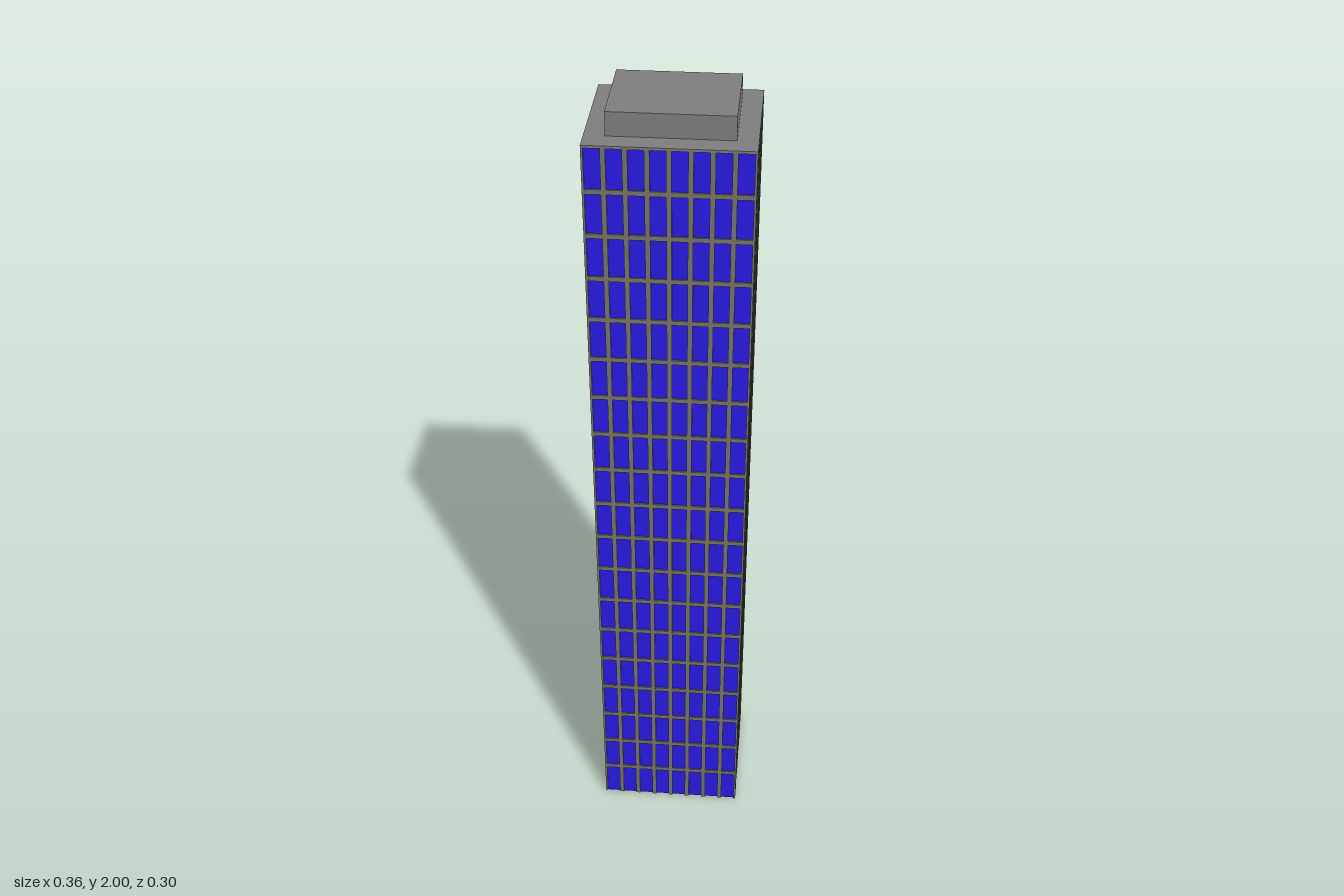
import * as THREE from 'three';

const W = 0.36, D = 0.304, H = 1.946;   // tower footprint and height
const FLOORS = 19, BAYS = 8;
const BAR = 0.011, DEPTH = 0.008;       // frame bar width and depth

export function createModel() {
  const group = new THREE.Group();
  group.name = 'officeTower';
  const glassMat = new THREE.MeshStandardMaterial({ color: 0x2a1ae6, side: THREE.DoubleSide });
  const frameMat = new THREE.MeshStandardMaterial({ color: 0x77776a });
  const roofMat = new THREE.MeshStandardMaterial({ color: 0x808080 });

  const add = (parent, name, geometry, material, x, y, z) => {
    const mesh = new THREE.Mesh(geometry, material);
    mesh.name = name;
    mesh.position.set(x, y, z);
    parent.add(mesh);
    return mesh;
  };

  // One curtain wall facing +z, its outer face at z = 0
  const buildWall = (name, width) => {
    const wall = new THREE.Group();
    wall.name = name;
    add(wall, 'glass', new THREE.PlaneGeometry(width - DEPTH, H), glassMat, 0, H / 2, -DEPTH / 2);

    // Vertical mullions between the bays
    const mullion = new THREE.BoxGeometry(BAR, H, DEPTH);
    for (let i = 1; i < BAYS; i++) {
      add(wall, 'mullion', mullion, frameMat, (i / BAYS - 0.5) * width, H / 2, -DEPTH / 2);
    }

    // Horizontal bands at each floor
    const band = new THREE.BoxGeometry(width, BAR, DEPTH - 0.001);
    for (let j = 1; j < FLOORS; j++) {
      add(wall, 'floorBand', band, frameMat, 0, (j / FLOORS) * H, -DEPTH / 2);
    }
    group.add(wall);
    return wall;
  };

  // Four walls around a hollow shaft that is open at the bottom
  const sides = [['frontWall', W, D], ['leftWall', D, W], ['backWall', W, D], ['rightWall', D, W]];
  sides.forEach(([name, width, across], k) => {
    const wall = buildWall(name, width);
    const angle = k * Math.PI / 2;
    wall.rotation.y = angle;
    wall.position.set(Math.sin(angle) * across / 2, 0, Math.cos(angle) * across / 2);
  });

  // Slim corner posts
  const post = new THREE.BoxGeometry(0.005, H, 0.005);
  for (const sx of [-1, 1]) for (const sz of [-1, 1]) {
    add(group, 'cornerPost', post, frameMat, sx * (W / 2 - 0.0025), H / 2, sz * (D / 2 - 0.0025));
  }

  // Flat roof and the plant room on it
  add(group, 'roof', new THREE.BoxGeometry(W, 0.006, D), roofMat, 0, H - 0.002, 0);
  add(group, 'plantRoom', new THREE.BoxGeometry(0.27, 2 - H, 0.214), roofMat, 0, (2 + H) / 2, -0.002);

  return group;
}
